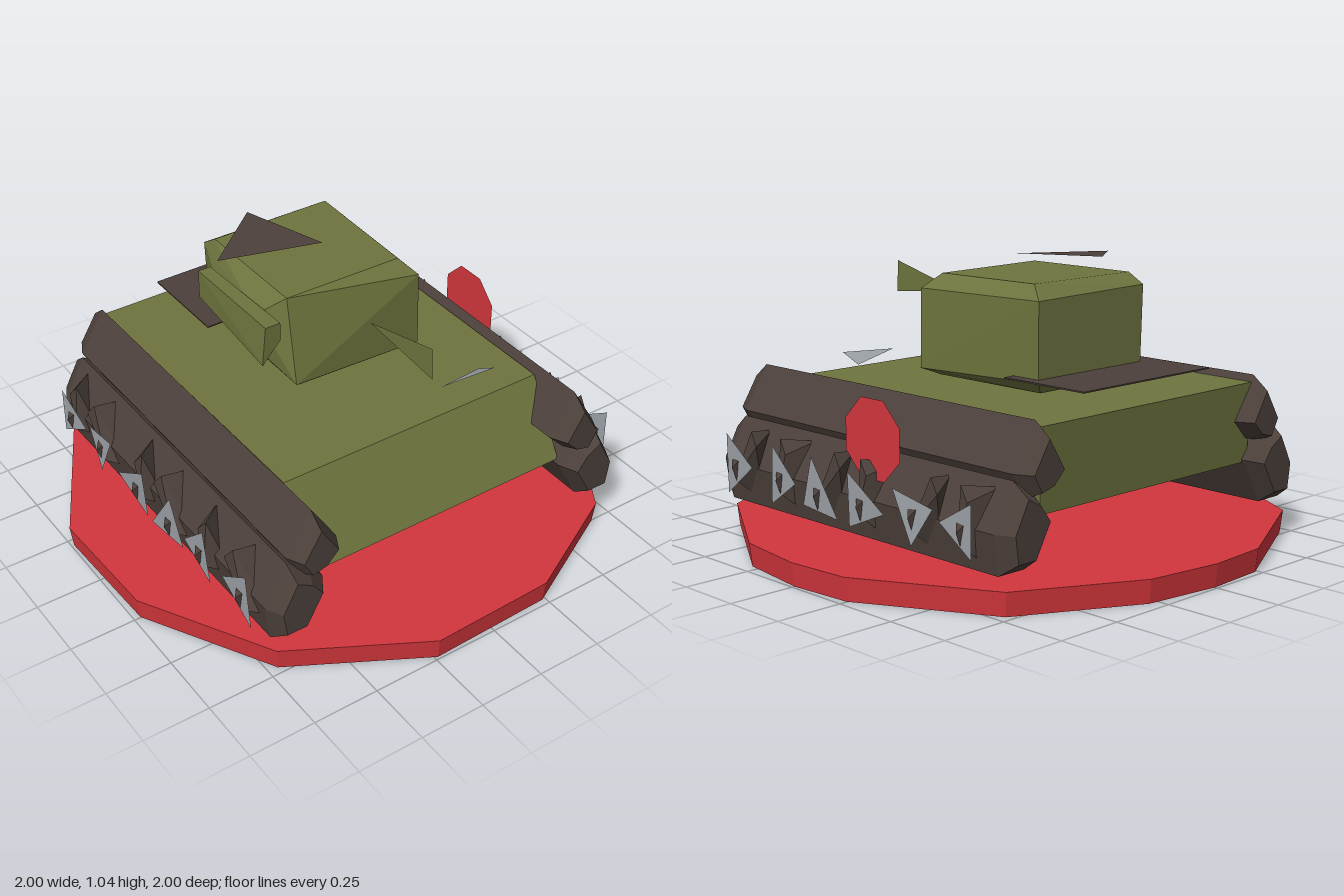
import * as THREE from 'three';
import { ConvexGeometry } from 'three/addons/geometries/ConvexGeometry.js';

function paint(name, color) {
  const m = new THREE.MeshStandardMaterial({ color, side: THREE.DoubleSide });
  m.name = name;
  return m;
}

export function createModel() {
  const model = new THREE.Group();
  model.name = 'tankOnDisc';
  const olive = paint('olive', 0x6e743e);
  const brown = paint('darkBrown', 0x4c403b);
  const red = paint('red', 0xd2363c);
  const grey = paint('steelGrey', 0x9da2a8);

  const add = (name, geometry, material, parent = model) => {
    const mesh = new THREE.Mesh(geometry, material);
    mesh.name = name;
    parent.add(mesh);
    return mesh;
  };
  // Faceted solid around a few corner points
  const solid = (name, pts, material, parent) =>
    add(name, new ConvexGeometry(pts.map((p) => new THREE.Vector3(...p))), material, parent);
  // Single thin triangle
  const shard = (name, pts, material, parent) => {
    const g = new THREE.BufferGeometry();
    g.setAttribute('position', new THREE.Float32BufferAttribute(pts.flat(), 3));
    g.computeVertexNormals();
    return add(name, g, material, parent);
  };

  // Base disc: slightly irregular outline
  const outline = [
    [-0.24, -0.985], [0, -1], [0.29, -0.96], [0.72, -0.73], [0.98, -0.25], [1, 0], [0.96, 0.29],
    [0.67, 0.76], [0.24, 0.985], [-0.24, 1], [-0.72, 0.73], [-0.985, 0.25], [-1, -0.22], [-0.71, -0.74],
  ];
  solid('baseDisc', outline.flatMap(([x, z]) => [[x * 0.99, 0, z * 0.99], [x, 0.085, z]]), red);

  // Hull with sloped front plate
  const hullProfile = [[0.59, 0.52], [0.31, 0.68], [0.285, 0.5], [0.29, -0.69], [0.585, -0.705]];
  solid('hull', hullProfile.flatMap(([y, z]) => [[-0.545, y, z], [0.53, y, z]]), olive);

  // Turret
  solid('turret', [
    [-0.25, 0.98, 0.1], [-0.25, 0.98, -0.37], [0.23, 0.98, -0.37], [0.22, 0.975, 0.1],
    [0.27, 0.92, 0.16], [0.27, 0.93, -0.43], [-0.26, 0.94, -0.43], [-0.33, 0.9, 0.02],
    [-0.35, 0.79, -0.12], [-0.26, 0.66, 0.17], [0.275, 0.63, 0.16], [0.27, 0.65, -0.43],
    [-0.25, 0.65, -0.43], [-0.2, 0.605, -0.39], [0.22, 0.605, -0.39], [0.22, 0.605, 0.11], [-0.2, 0.605, 0.11],
  ], olive);
  solid('turretSideBox', [
    [-0.385, 0.78, 0.15], [-0.31, 0.86, 0.15], [-0.37, 0.93, 0.15], [-0.31, 0.93, 0.15],
    [-0.37, 0.82, -0.29], [-0.32, 0.83, -0.29], [-0.37, 0.93, -0.29], [-0.32, 0.93, -0.29],
  ], olive);
  shard('gun', [[-0.005, 0.96, 0.6], [-0.005, 0.84, 0.605], [-0.005, 0.87, 0.25]], olive);
  shard('roofHatch', [[-0.36, 1.03, -0.17], [0, 1.04, -0.05], [-0.11, 1.045, -0.37]], brown);

  // Deck plate behind the turret and small front fitting
  const deck = add('deckPlate', new THREE.BoxGeometry(0.645, 0.005, 0.37), brown);
  deck.position.set(-0.008, 0.66, -0.495);
  shard('frontFitting', [[0.15, 0.65, 0.455], [0.375, 0.66, 0.48], [0.36, 0.62, 0.41]], grey);

  // Round side marker
  const marker = add('sideMarker', new THREE.CircleGeometry(0.15, 8, Math.PI / 8), red);
  marker.rotation.y = Math.PI / 2;
  marker.position.set(0.735, 0.48, -0.11);

  // Track beams: one cross-section (x, y), shrunk at both ends
  const upper = [[0.56, 0.61], [0.66, 0.45], [0.61, 0.36], [0.53, 0.38], [0.46, 0.45]];
  const lower = [[0.575, 0.38], [0.66, 0.43], [0.745, 0.27], [0.725, 0.13], [0.61, 0.13], [0.515, 0.3]];
  const beam = (section, cx, cy, s) =>
    [[-0.765, 0.68], [-0.7, 1], [0.7, 1], [0.765, 0.68]].flatMap(([z, k]) =>
      section.map(([x, y]) => [s * (cx + (x - cx) * k), cy + (y - cy) * k, z]));

  // Wheel plates as (z, y) corners
  const wheels = [
    [[0.65, 0.39], [0.66, 0.165], [0.5, 0.285]],
    [[0.38, 0.39], [0.4, 0.17], [0.25, 0.27]],
    [[0.16, 0.385], [0.22, 0.2], [0.02, 0.185]],
    [[-0.035, 0.365], [-0.03, 0.17], [-0.22, 0.25]],
    [[-0.265, 0.35], [-0.45, 0.31], [-0.355, 0.17]],
    [[-0.64, 0.365], [-0.48, 0.275], [-0.64, 0.18]],
  ];
  for (const s of [1, -1]) {
    const side = new THREE.Group();
    side.name = s > 0 ? 'leftTrack' : 'rightTrack';
    model.add(side);
    solid('upperTrack', beam(upper, 0.56, 0.45, s), brown, side);
    solid('lowerTrack', beam(lower, 0.64, 0.27, s), brown, side);
    wheels.forEach((tri, i) => {
      const z = (tri[0][0] + tri[1][0] + tri[2][0]) / 3;
      const y = (tri[0][1] + tri[1][1] + tri[2][1]) / 3;
      shard('wheelPlate', tri.map(([tz, ty], j) => [s * (0.785 + (j === 1 ? -0.01 : 0)), ty, tz]), grey, side);
      // Jagged wheel body behind the plate
      const t = i % 2 ? 0.05 : -0.04;
      solid('wheelBody', [
        [s * 0.66, 0.4, z - 0.06], [s * 0.76, 0.41, z + t - 0.03], [s * 0.77, 0.36, z + t - 0.07],
        [s * 0.775, 0.22, z + 0.02], [s * 0.7, 0.14, z - 0.05], [s * 0.7, 0.2, z + 0.08],
      ], brown, side);
      // Hub spike
      solid('hub', [
        [s * 0.78, y + 0.02, z - 0.02], [s * 0.78, y + 0.02, z + 0.02],
        [s * 0.78, y - 0.06, z], [s * 0.8, y - 0.01, z],
      ], brown, side);
    });
  }
  return model;
}
